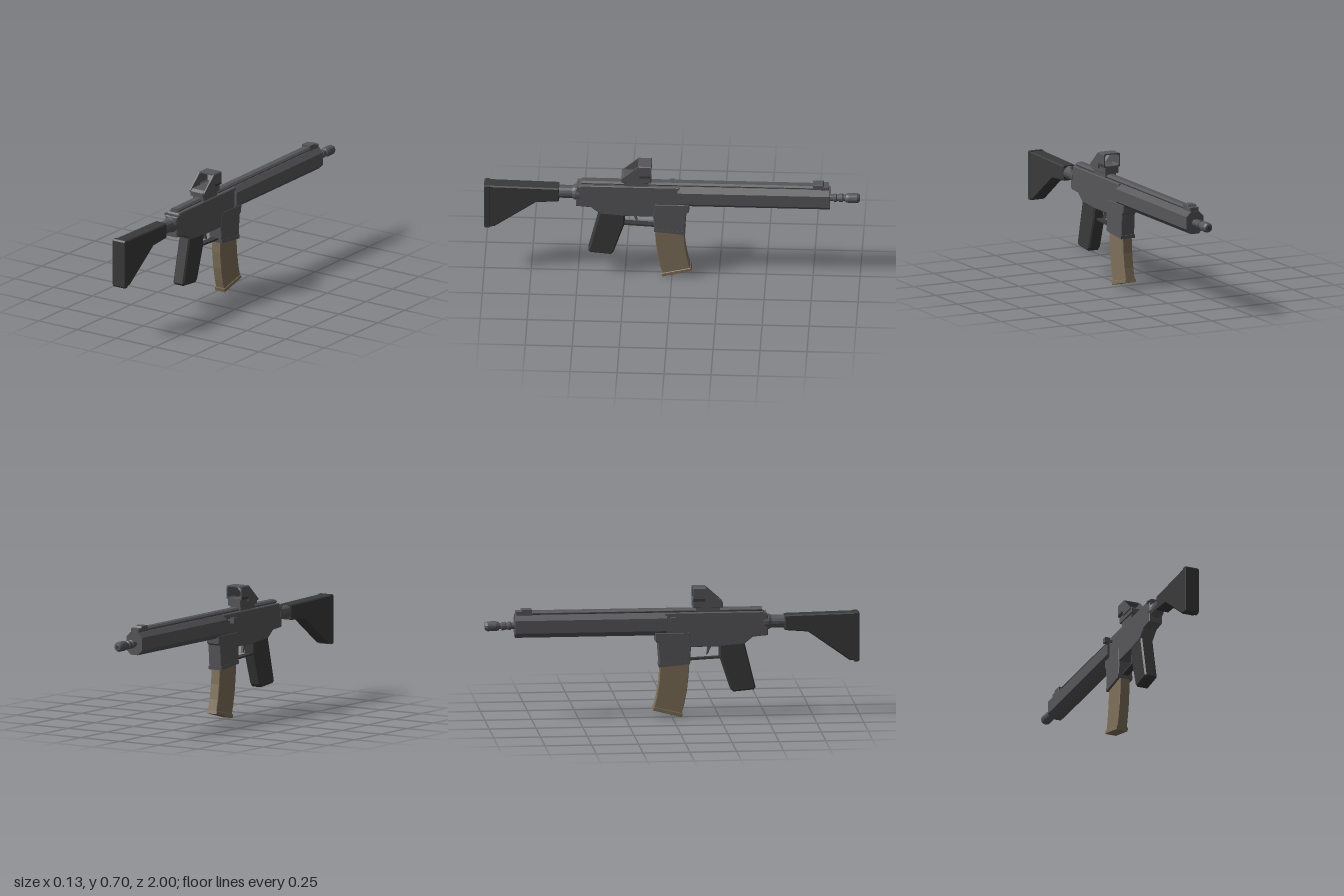
import * as THREE from 'three';

const mat = (name, color, side = THREE.FrontSide) => {
  const m = new THREE.MeshStandardMaterial({ color, side });
  m.name = name;
  return m;
};

export function createModel() {
  const metal = mat('gunmetal grey', 0x57575a);
  const polymer = mat('black polymer', 0x3a3a3a);
  const tan = mat('tan', 0x7f705a);
  const root = new THREE.Group();
  root.name = 'rifle';
  root.position.x = 0.016;

  const add = (name, geo, material, x = 0, y = 0, z = 0) => {
    const flat = geo.index ? geo.toNonIndexed() : geo;
    flat.computeVertexNormals();
    const mesh = new THREE.Mesh(flat, material);
    mesh.name = name;
    mesh.position.set(x, y, z);
    root.add(mesh);
    return mesh;
  };
  const box = (name, material, w, h, d, x, y, z) =>
    add(name, new THREE.BoxGeometry(w, h, d), material, x, y, z);

  // Side profile given as [z, y] points, extruded across x
  const side = (name, pts, width, material, bevel = 0, x = 0) => {
    const shape = new THREE.Shape(pts.map(([z, y]) => new THREE.Vector2(-z, y)));
    const geo = new THREE.ExtrudeGeometry(shape, {
      depth: width - 2 * bevel, bevelEnabled: bevel > 0, bevelSegments: 1,
      bevelSize: bevel, bevelThickness: bevel, bevelOffset: -bevel,
    });
    geo.translate(0, 0, -width / 2 + bevel).rotateY(Math.PI / 2);
    return add(name, geo, material, x);
  };

  // Chamfered rectangle in the x-y plane
  const chamfered = (hw, hh, c, Type = THREE.Shape) => new Type([
    [-hw, -hh + c], [-hw + c, -hh], [hw - c, -hh], [hw, -hh + c],
    [hw, hh - c], [hw - c, hh], [-hw + c, hh], [-hw, hh - c],
  ].map(([x, y]) => new THREE.Vector2(x, y)));
  const along = (name, shape, material, y, z0, z1) =>
    add(name, new THREE.ExtrudeGeometry(shape, { depth: z1 - z0, bevelEnabled: false }), material, 0, y, z0);

  // Turned part along z: [radius, z] points
  const turned = (name, pts, material, y) => {
    const geo = new THREE.LatheGeometry(pts.map(([r, z]) => new THREE.Vector2(r, z)), 14);
    geo.rotateX(Math.PI / 2);
    return add(name, geo, material, 0, y);
  };

  // Stock and buffer tube
  side('stock', [[0.6, 0.462], [0.6, 0.543], [0.985, 0.551], [0.985, 0.29], [0.945, 0.295],
    [0.725, 0.452]], 0.076, polymer, 0.006);
  side('buttPad', [[0.97, 0.287], [0.97, 0.553], [0.992, 0.553], [1, 0.545], [1, 0.295], [0.993, 0.287]],
    0.08, polymer, 0.003);
  turned('bufferTube', [[0, 0.49], [0.043, 0.49], [0.043, 0.515], [0.035, 0.53], [0.035, 0.61], [0, 0.61]], metal, 0.505);

  // Receiver
  side('receiver', [[0.51, 0.437], [0.51, 0.545], [0.485, 0.566], [-0.04, 0.566], [-0.04, 0.4],
    [0.1, 0.38], [0.25, 0.38], [0.38, 0.39], [0.43, 0.43]], 0.076, metal, 0.004);
  side('magazineWell', [[0.1, 0.385], [0.092, 0.29], [-0.068, 0.273], [-0.078, 0.405], [-0.092, 0.415],
    [-0.094, 0.46], [0.09, 0.46]], 0.08, metal, 0.004);
  side('magazineWellLip', [[0.096, 0.307], [0.093, 0.288], [-0.071, 0.272], [-0.073, 0.291]], 0.083, metal);
  box('chargingHandle', metal, 0.09, 0.012, 0.018, 0, 0.553, 0.495);
  box('boltKnobShaft', metal, 0.03, 0.01, 0.01, -0.048, 0.534, 0.002);
  box('boltKnob', metal, 0.027, 0.029, 0.027, -0.0695, 0.534, 0.002);

  // Octagonal handguard and top rail
  along('handguard', chamfered(0.05, 0.061, 0.027), metal, 0.505, -0.84, -0.03);
  along('topRail', chamfered(0.025, 0.011, 0.009), metal, 0.574, -0.83, 0.48);
  box('railBase', metal, 0.036, 0.014, 1.3, 0, 0.567, -0.175);
  side('frontSight', [[-0.75, 0.578], [-0.75, 0.596], [-0.803, 0.596], [-0.808, 0.586], [-0.835, 0.586],
    [-0.835, 0.565], [-0.75, 0.565]], 0.052, metal, 0.002);

  // Barrel and muzzle device
  turned('barrel', [[0, -1], [0.01, -1], [0.02, -0.998], [0.027, -0.985], [0.027, -0.94], [0.023, -0.925],
    [0.017, -0.922], [0.017, -0.912], [0.023, -0.908], [0.023, -0.89], [0.018, -0.886], [0.018, -0.878],
    [0.023, -0.874], [0.023, -0.862], [0.018, -0.858], [0.018, -0.83], [0, -0.83]], metal, 0.505);
  add('bore', new THREE.CircleGeometry(0.009, 12).rotateY(Math.PI), polymer, 0, 0.505, -1.0005);

  // Reflex sight: clamp, base, open hood, sloping side wings
  box('sightClamp', metal, 0.065, 0.026, 0.13, 0, 0.58, 0.19);
  side('sightBase', [[0.27, 0.592], [0.27, 0.617], [0.255, 0.629], [0.11, 0.629], [0.11, 0.592]], 0.08, metal, 0.002);
  const hood = chamfered(0.049, 0.037, 0.005);
  hood.holes.push(chamfered(0.041, 0.031, 0.008, THREE.Path));
  along('sightHood', hood, metal, 0.663, 0.11, 0.18);
  for (const s of [-1, 1]) {
    side('sightWing', [[0.268, 0.612], [0.268, 0.62], [0.18, 0.698], [0.175, 0.698], [0.175, 0.612]],
      0.008, metal, 0, s * 0.045);
    box('sightSlot', polymer, 0.003, 0.012, 0.06, s * 0.0485, 0.636, 0.142);
  }

  // Pistol grip, trigger and guard
  side('grip', [[0.385, 0.4], [0.445, 0.155], [0.435, 0.143], [0.325, 0.133], [0.31, 0.148],
    [0.252, 0.325], [0.25, 0.4]], 0.07, polymer, 0.008);
  side('triggerGuard', [[0.26, 0.313], [0.26, 0.323], [0.09, 0.314], [0.09, 0.304]], 0.036, polymer);
  side('trigger', [[0.215, 0.385], [0.2, 0.355], [0.192, 0.335], [0.183, 0.333], [0.188, 0.36], [0.192, 0.385]],
    0.014, metal);

  // Curved magazine with floor plate
  side('magazine', [[0.09, 0.31], [0.088, 0.23], [0.078, 0.14], [0.063, 0.065], [0.048, 0.012],
    [-0.099, 0.05], [-0.083, 0.115], [-0.07, 0.195], [-0.062, 0.31]], 0.056, tan, 0.003);
  side('magazineFloorPlate', [[0.056, 0.02], [0.051, 0], [-0.105, 0.04], [-0.1, 0.058]], 0.065, tan, 0.002);

  return root;
}
